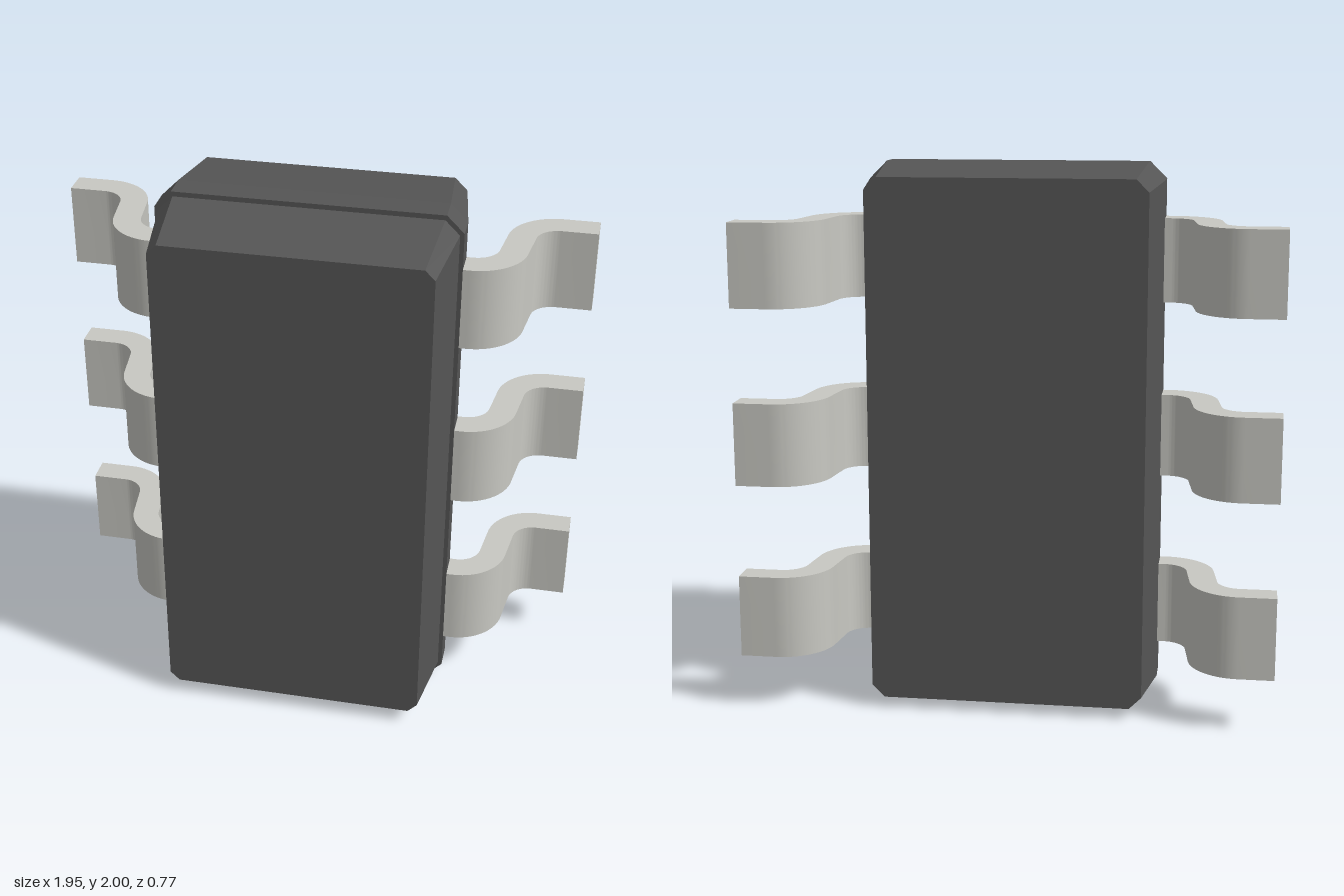
import * as THREE from 'three';
import { toCreasedNormals } from 'three/addons/utils/BufferGeometryUtils.js';

// Rectangle with cut corners, counter-clockwise seen from +z
function chamferedRect(w, h, c) {
  return [[w, -h + c], [w, h - c], [w - c, h], [-w + c, h],
    [-w, h - c], [-w, -h + c], [-w + c, -h], [w - c, -h]];
}

// Flat-faced solid through chamfered sections [z, halfWidth, halfHeight, chamfer], back to front
function loftBody(sections) {
  const rings = sections.map(([z, w, h, c]) =>
    chamferedRect(w, h, c).map(([x, y]) => [x, y + 1, z]));
  const pos = [];
  const tri = (a, b, c) => pos.push(...a, ...b, ...c);
  for (let s = 0; s < rings.length - 1; s++) {
    const A = rings[s], B = rings[s + 1];
    for (let i = 0; i < 8; i++) {
      const j = (i + 1) % 8;
      tri(A[i], A[j], B[j]);
      tri(A[i], B[j], B[i]);
    }
  }
  const back = rings[0], front = rings[rings.length - 1];
  for (let i = 1; i < 7; i++) {
    tri(back[0], back[i + 1], back[i]);
    tri(front[0], front[i], front[i + 1]);
  }
  const geo = new THREE.BufferGeometry();
  geo.setAttribute('position', new THREE.Float32BufferAttribute(pos, 3));
  geo.computeVertexNormals();
  return geo;
}

// S-bent strip, drawn in plan and extruded along y
function leadGeometry() {
  const xLow = 0.563, xHigh = 0.847, end = 0.977, inner = 0.085, outer = 0.185;
  const q = Math.PI / 2, tilt = THREE.MathUtils.degToRad(7);
  const shape = new THREE.Shape();
  shape.moveTo(0.48, -0.085);
  shape.lineTo(xLow, -0.085);
  shape.absarc(xLow, 0.1, outer, -q, -tilt, false);
  shape.absarc(xHigh, 0.2, inner, Math.PI - tilt, q, true);
  shape.lineTo(end, 0.285);
  shape.lineTo(end, 0.385);
  shape.absarc(xHigh, 0.2, outer, q, Math.PI - tilt, false);
  shape.absarc(xLow, 0.1, inner, -tilt, -q, true);
  shape.lineTo(0.48, 0.015);
  shape.closePath();
  const geo = new THREE.ExtrudeGeometry(shape, { depth: 0.305, bevelEnabled: false, curveSegments: 14 });
  geo.translate(0, 0, -0.1525);
  geo.rotateX(-Math.PI / 2);
  return toCreasedNormals(geo, 0.5);
}

export function createModel() {
  const model = new THREE.Group();
  model.name = 'chipPackage';
  const plastic = new THREE.MeshStandardMaterial({ color: 0x555555 });
  const metal = new THREE.MeshStandardMaterial({ color: 0xc8c8c2 });

  // Moulded body with a small step at the parting line
  const body = new THREE.Mesh(loftBody([
    [-0.313, 0.5, 0.96, 0.045],
    [-0.01, 0.54, 1, 0.062],
    [0.087, 0.54, 1, 0.062],
    [0.087, 0.525, 0.982, 0.052],
    [0.383, 0.485, 0.94, 0.035],
  ]), plastic);
  body.name = 'body';
  model.add(body);

  // Nearly flush orientation dot on the front face
  const dot = new THREE.Mesh(new THREE.CircleGeometry(0.07, 32), plastic);
  dot.name = 'orientationDot';
  dot.position.set(-0.25, 1.7, 0.3845);
  model.add(dot);

  // Three leads per side; a half turn about z mirrors them
  const geo = leadGeometry();
  for (const side of [1, -1]) {
    [0.355, 1.0025, 1.65].forEach((y, i) => {
      const lead = new THREE.Mesh(geo, metal);
      lead.name = `${side > 0 ? 'left' : 'right'}Lead${i + 1}`;
      lead.position.y = y;
      lead.rotation.z = side > 0 ? 0 : Math.PI;
      model.add(lead);
    });
  }
  return model;
}
